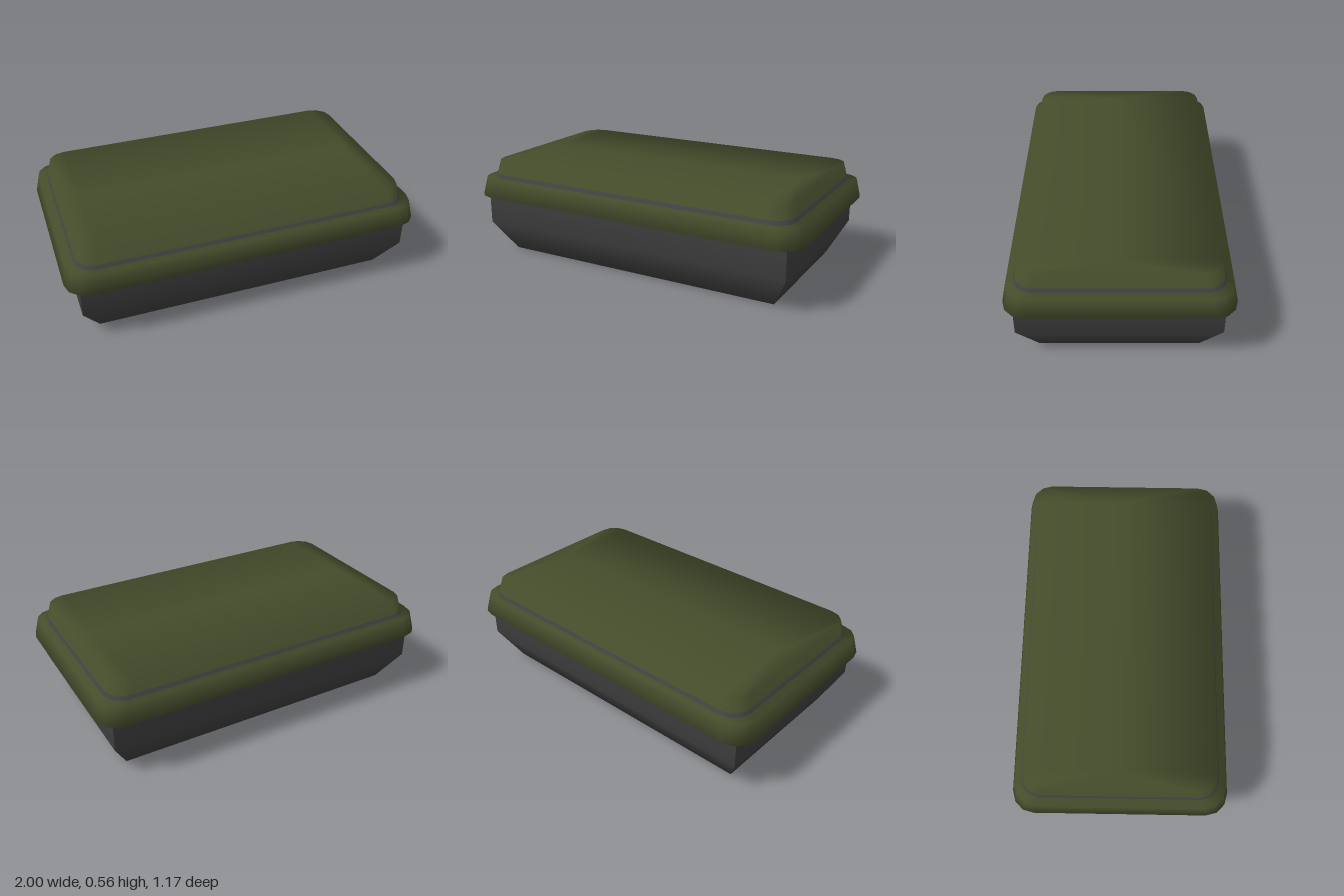
import * as THREE from 'three';

const green = new THREE.MeshStandardMaterial({ color: 0x444c2b });
green.name = 'olive green';
const gray = new THREE.MeshStandardMaterial({ color: 0x404040 });
gray.name = 'dark gray';

const CORNER = 3; // segments per rounded corner

// Skin over rounded-rectangle rings, listed from the bottom up and inwards.
// Ring: [half width, half depth, corner radius, y, normal outwards, normal up]
function loft(name, material, rings) {
  const pos = [], nor = [], index = [];
  const n = 4 * (CORNER + 1);
  const v = new THREE.Vector3();
  for (const [hx, hz, r, y, out, up] of rings) {
    for (let q = 0; q < 4; q++) {
      const sx = q === 0 || q === 3 ? 1 : -1;
      const sz = q < 2 ? 1 : -1;
      for (let k = 0; k <= CORNER; k++) {
        const a = (q + k / CORNER) * Math.PI / 2;
        const c = Math.cos(a), s = Math.sin(a);
        pos.push(sx * (hx - r) + c * r, y, sz * (hz - r) + s * r);
        v.set(c * out, up, s * out).normalize();
        nor.push(v.x, v.y, v.z);
      }
    }
  }
  for (let i = 0; i < rings.length - 1; i++) {
    for (let j = 0; j < n; j++) {
      const a = i * n + j, b = i * n + (j + 1) % n;
      index.push(a, a + n, b, b, a + n, b + n);
    }
  }
  const g = new THREE.BufferGeometry();
  g.setAttribute('position', new THREE.Float32BufferAttribute(pos, 3));
  g.setAttribute('normal', new THREE.Float32BufferAttribute(nor, 3));
  g.setIndex(index);
  const mesh = new THREE.Mesh(g, material);
  mesh.name = name;
  return mesh;
}

export function createModel() {
  const group = new THREE.Group();
  group.name = 'lidded box';

  // Tapered container with sharp upright corners and a flat base
  const container = loft('container', gray, [
    [0.8, 0, 0, 0, 0, -1],
    [0.837, 0.423, 0.002, 0, 0.5, -0.85],
    [0.932, 0.53, 0.002, 0.183, 1, -0.2],
    [0.932, 0.53, 0.002, 0.355, 1, 0],
  ]);
  container.position.z = 0.003;
  group.add(container);

  // Underside of the overhanging rim
  group.add(loft('rimUnderside', gray, [
    [0.925, 0.522, 0.002, 0.353, 0.7, -0.7],
    [1, 0.586, 0.12, 0.353, 0.7, -0.7],
  ]));

  // Overhanging lid rim and its ledge
  group.add(loft('lidRim', green, [
    [1, 0.586, 0.12, 0.353, 1, -0.3],
    [0.978, 0.565, 0.115, 0.459, 0.7, 0.7],
    [0.925, 0.522, 0.1, 0.459, 0.7, 0.7],
  ]));

  // Raised lid top, softly shaded from its sides into the flat panel
  group.add(loft('lidTop', green, [
    [0.93, 0.528, 0.1, 0.458, 1, 0.8],
    [0.907, 0.51, 0.1, 0.558, 1, 1],
    [0.807, 0, 0, 0.558, 0, 1],
  ]));

  // Thin seal line at the foot of the raised top
  group.add(loft('seal', gray, [
    [0.932, 0.53, 0.1, 0.459, 1, 0.8],
    [0.927, 0.526, 0.1, 0.481, 1, 0.8],
    [0.922, 0.521, 0.1, 0.481, 1, 1],
  ]));

  return group;
}
